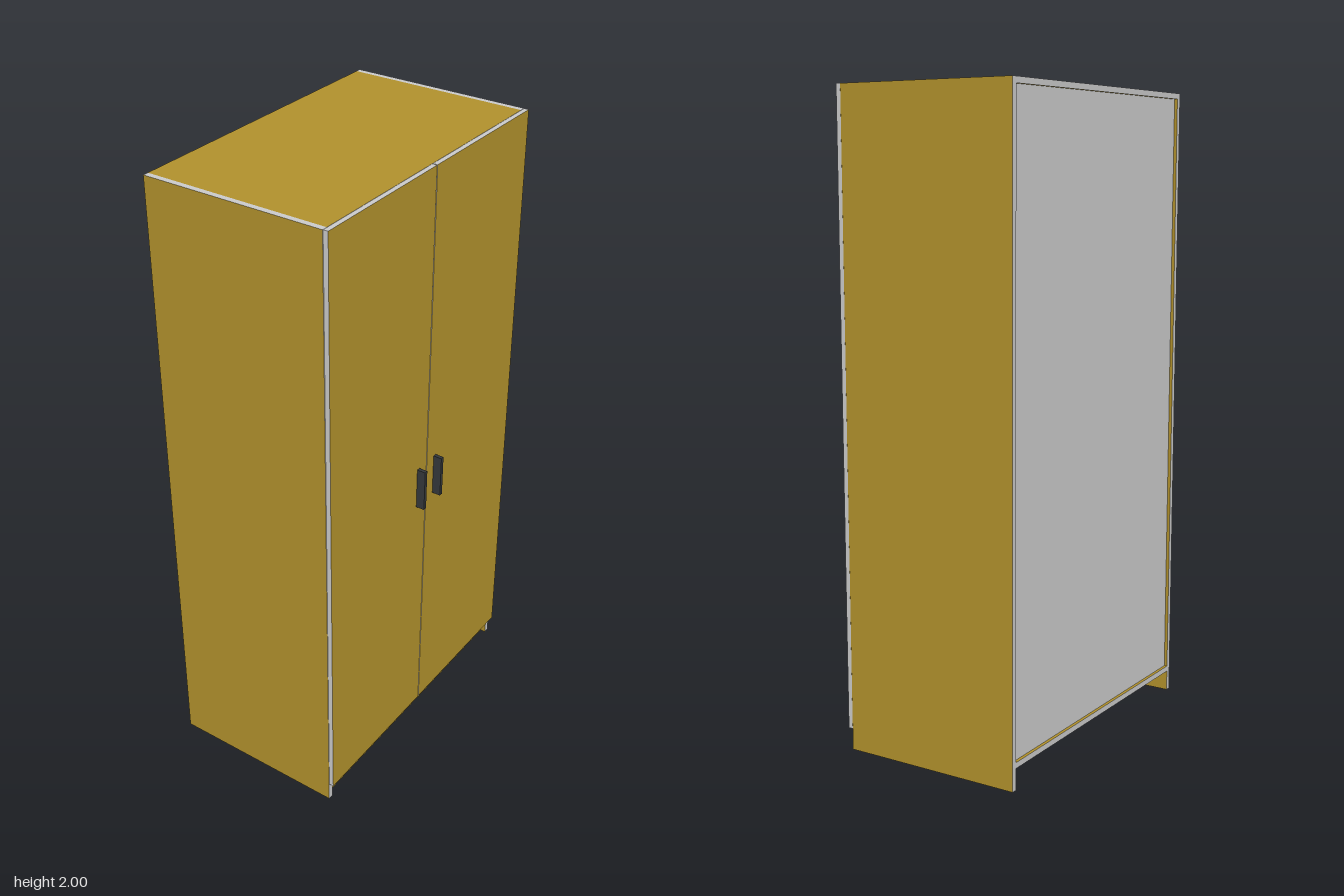
import * as THREE from 'three';

export function createModel() {
  const group = new THREE.Group();
  group.name = 'wardrobe';

  const material = (name, color) => {
    const m = new THREE.MeshStandardMaterial({ color });
    m.name = name;
    return m;
  };
  const wood = material('wood', 0xb0902c);
  const edging = material('edging', 0xc9c9c9);
  const handleDark = material('handleDark', 0x33373a);

  // Box between two corners; the two faces along the given axis are wood, the cut edges are light
  function addBoard(name, min, max, axis) {
    const size = max.map((v, i) => v - min[i]);
    const faces = [0, 1, 2, 3, 4, 5].map(i => (Math.floor(i / 2) === axis ? wood : edging));
    return place(name, size, min, faces);
  }
  function place(name, size, min, mat) {
    const mesh = new THREE.Mesh(new THREE.BoxGeometry(...size), mat);
    mesh.name = name;
    mesh.position.set(...min.map((v, i) => v + size[i] / 2));
    group.add(mesh);
    return mesh;
  }

  const W = 0.5, H = 2, T = 0.018;
  const back = -0.314, front = 0.268, doorFront = 0.284, kick = 0.066;
  const inner = W - T;

  // Carcass
  addBoard('rightSide', [-W, 0, back], [-inner, H, front], 0);
  addBoard('leftSide', [inner, 0, back], [W, H, front], 0);
  addBoard('topPanel', [-inner, H - T, back], [inner, H, front], 1);
  addBoard('bottomPanel', [-inner, kick, back], [inner, kick + T, front], 1);
  addBoard('plinth', [-inner, 0, front - 2 * T], [inner, kick, front - T], 2);

  // Thin back panel, set in from the rear edges
  place('backPanel', [2 * inner, H - kick - 2 * T, 0.006],
    [-inner, kick + T, back + 0.01], edging);

  // Doors and handles, mirrored
  for (const [side, s] of [['right', -1], ['left', 1]]) {
    const span = (a, b) => (s > 0 ? [a, b] : [-b, -a]);
    const [d0, d1] = span(0.0015, W - 0.001);
    addBoard(side + 'Door', [d0, kick, front + 0.001], [d1, H, doorFront], 2);
    const [h0] = span(0.04, 0.052);
    place(side + 'Handle', [0.012, 0.138, 0.028], [h0, 0.9, doorFront], handleDark);
  }
  return group;
}
